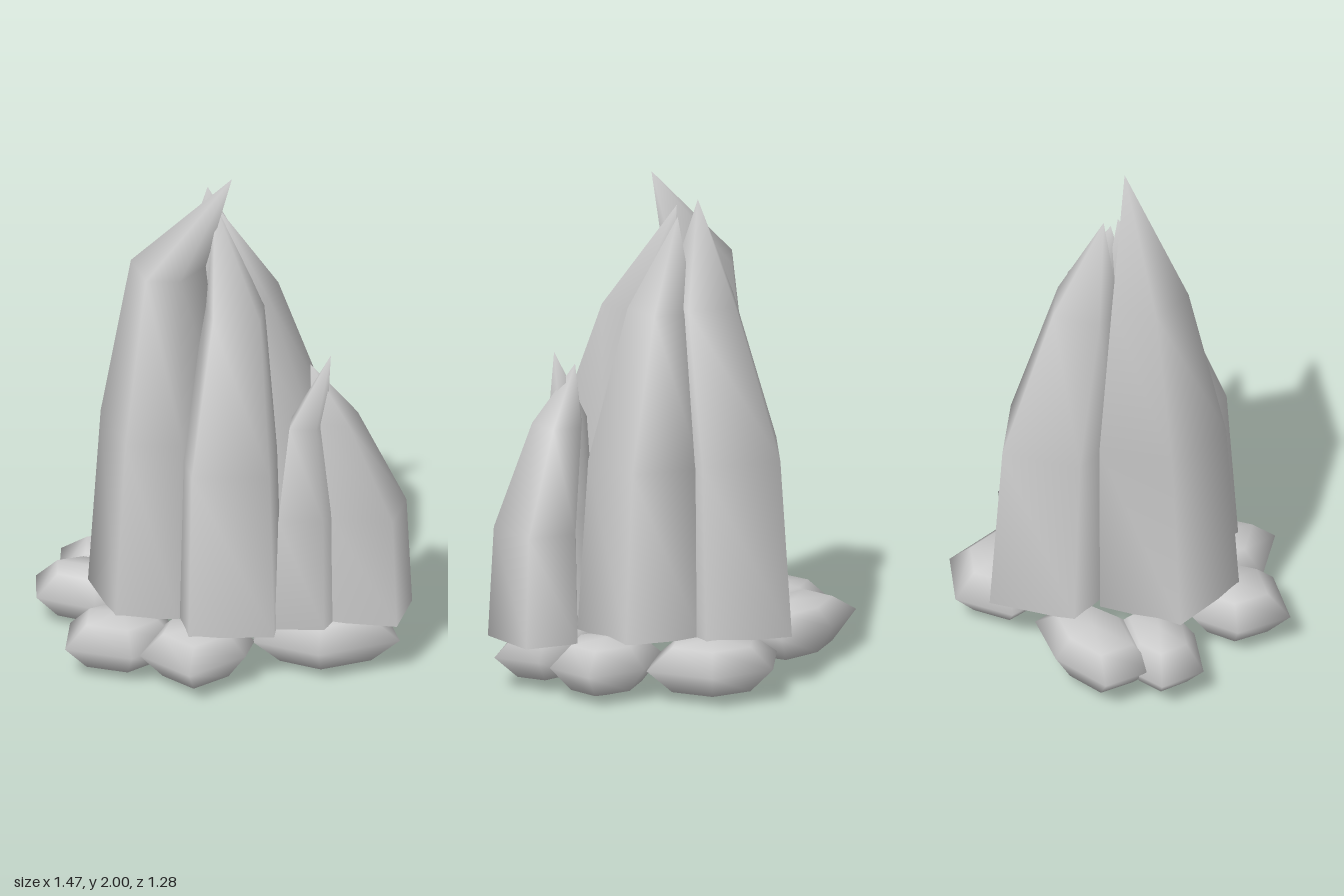
import * as THREE from 'three';

const grey = new THREE.MeshStandardMaterial({ color: 0xcccccc });
grey.name = 'pale grey rock';

// Smooth closed body lofted through rings of [x, z] corners, ending in a point;
// the underside is either another point or a flat cap.
function loft(outline, rings, top, bottom, flatBase) {
  let area = 0;
  outline.forEach(([x, z], i) => {
    const [x2, z2] = outline[(i + 1) % outline.length];
    area += x * z2 - x2 * z;
  });
  const pts = area > 0 ? [...outline].reverse() : outline;
  const n = pts.length;
  const cx = pts.reduce((s, p) => s + p[0], 0) / n;
  const cz = pts.reduce((s, p) => s + p[1], 0) / n;
  const pos = [], idx = [];
  const addRing = ({ y, s, c = [cx, cz] }) => {
    for (const [x, z] of pts) pos.push(c[0] + (x - cx) * s, y, c[1] + (z - cz) * s);
  };
  rings.forEach(addRing);
  for (let r = 0; r < rings.length - 1; r++) {
    for (let j = 0; j < n; j++) {
      const k = (j + 1) % n, a = r * n, b = a + n;
      idx.push(a + j, a + k, b + j, a + k, b + k, b + j);
    }
  }
  const tip = pos.length / 3;
  pos.push(...(top ?? [cx, 0.235, cz]));
  const last = (rings.length - 1) * n;
  for (let j = 0; j < n; j++) idx.push(last + j, last + (j + 1) % n, tip);
  // a flat cap gets its own corners so its rim stays sharp
  let first = 0;
  if (flatBase) {
    first = pos.length / 3;
    addRing(rings[0]);
  }
  const low = pos.length / 3;
  pos.push(cx, bottom, cz);
  for (let j = 0; j < n; j++) idx.push(first + (j + 1) % n, first + j, low);
  const g = new THREE.BufferGeometry();
  g.setAttribute('position', new THREE.Float32BufferAttribute(pos, 3));
  g.setIndex(idx);
  g.computeVertexNormals();
  return g;
}

// Five-sided spikes: base corners, heights and centres of the two upper rings, tip
const spikes = [
  { name: 'leftSpike', base: [[-0.53, -0.02], [-0.41, 0.31], [-0.17, 0.31], [0, 0.06], [-0.27, -0.23]],
    y: [0.95, 1.6], c: [[-0.25, 0.07], [-0.225, 0.025]], tip: [0.03, 2, 0.05] },
  { name: 'backSpike', base: [[-0.3, -0.36], [-0.04, -0.59], [0.24, -0.39], [0.12, -0.08], [-0.2, -0.14]],
    y: [0.92, 1.5], c: [[-0.036, -0.28], [-0.04, -0.157]], tip: [-0.07, 1.89, -0.1] },
  { name: 'rightSpike', base: [[0.2, -0.33], [0.45, -0.16], [0.4, 0.12], [0.15, 0.15], [0.02, -0.1]],
    y: [0.9, 1.48], c: [[0.22, -0.07], [0.09, -0.05]], tip: [-0.02, 1.82, -0.04] },
  { name: 'frontSpike', base: [[-0.12, 0.47], [0.21, 0.45], [0.23, 0.17], [0, 0], [-0.18, 0.22]],
    y: [0.89, 1.46], c: [[0.025, 0.235], [0.045, 0.1]], tip: [-0.04, 1.86, -0.02] },
  { name: 'smallOuterSpike', base: [[0.55, 0], [0.73, 0.11], [0.68, 0.34], [0.42, 0.31], [0.4, 0.12]],
    y: [0.66, 1.05], c: [[0.55, 0.175], [0.425, 0.18]], tip: [0.34, 1.27, 0.18] },
  { name: 'smallInnerSpike', base: [[0.21, 0.38], [0.4, 0.38], [0.47, 0.22], [0.37, 0.1], [0.22, 0.18]],
    y: [0.68, 1.04], c: [[0.335, 0.245], [0.33, 0.22]], tip: [0.42, 1.33, 0.22] },
];

// Flattened stones: outline seen from above and height of the widest ring
const stones = [
  { at: 'back', y: 0.14, outline: [[0.14, -0.64], [0.38, -0.53], [0.46, -0.27], [0.25, -0.16], [0, -0.24], [-0.06, -0.5]] },
  { at: 'backLeft', y: 0.15, outline: [[-0.65, -0.42], [-0.4, -0.5], [-0.15, -0.45], [-0.1, -0.25], [-0.35, -0.13], [-0.65, -0.19]] },
  { at: 'left', y: 0.13, outline: [[-0.74, -0.22], [-0.73, -0.03], [-0.5, 0.06], [-0.25, 0.02], [-0.3, -0.2], [-0.58, -0.28]] },
  { at: 'frontLeft', y: 0.14, outline: [[-0.59, 0.2], [-0.6, 0.43], [-0.34, 0.5], [-0.16, 0.34], [-0.22, 0.13], [-0.42, 0.1]] },
  { at: 'front', y: 0.14, outline: [[-0.11, 0.64], [-0.31, 0.47], [-0.26, 0.26], [-0.02, 0.2], [0.13, 0.32], [0.1, 0.46]] },
  { at: 'frontRight', y: 0.14, outline: [[0.38, 0.44], [0.69, 0.3], [0.64, 0.12], [0.4, 0.06], [0.15, 0.14], [0.12, 0.33]] },
  { at: 'right', y: 0.14, outline: [[0.45, -0.25], [0.67, -0.15], [0.66, 0.05], [0.45, 0.14], [0.22, 0.04], [0.24, -0.18]] },
];

export function createModel() {
  const group = new THREE.Group();
  group.name = 'rockSpireCluster';
  const add = (name, geometry) => {
    const mesh = new THREE.Mesh(geometry, grey);
    mesh.name = name;
    group.add(mesh);
  };

  // spires leaning together, each tapering to a hooked tip
  for (const { name, base, y, c, tip } of spikes) {
    const rings = [{ y: 0.22, s: 1 }, { y: y[0], s: 0.91, c: c[0] }, { y: y[1], s: 0.55, c: c[1] }];
    add(name, loft(base, rings, tip, 0.22, true));
  }

  // ring of stones underneath
  stones.forEach(({ at, y, outline }, i) => {
    const rings = [{ y: 0.04, s: 0.62 }, { y, s: 1 }, { y: 0.22, s: 0.62 }];
    add(at + 'Stone', loft(outline, rings, null, (i % 2) * 0.015, false));
  });
  return group;
}
